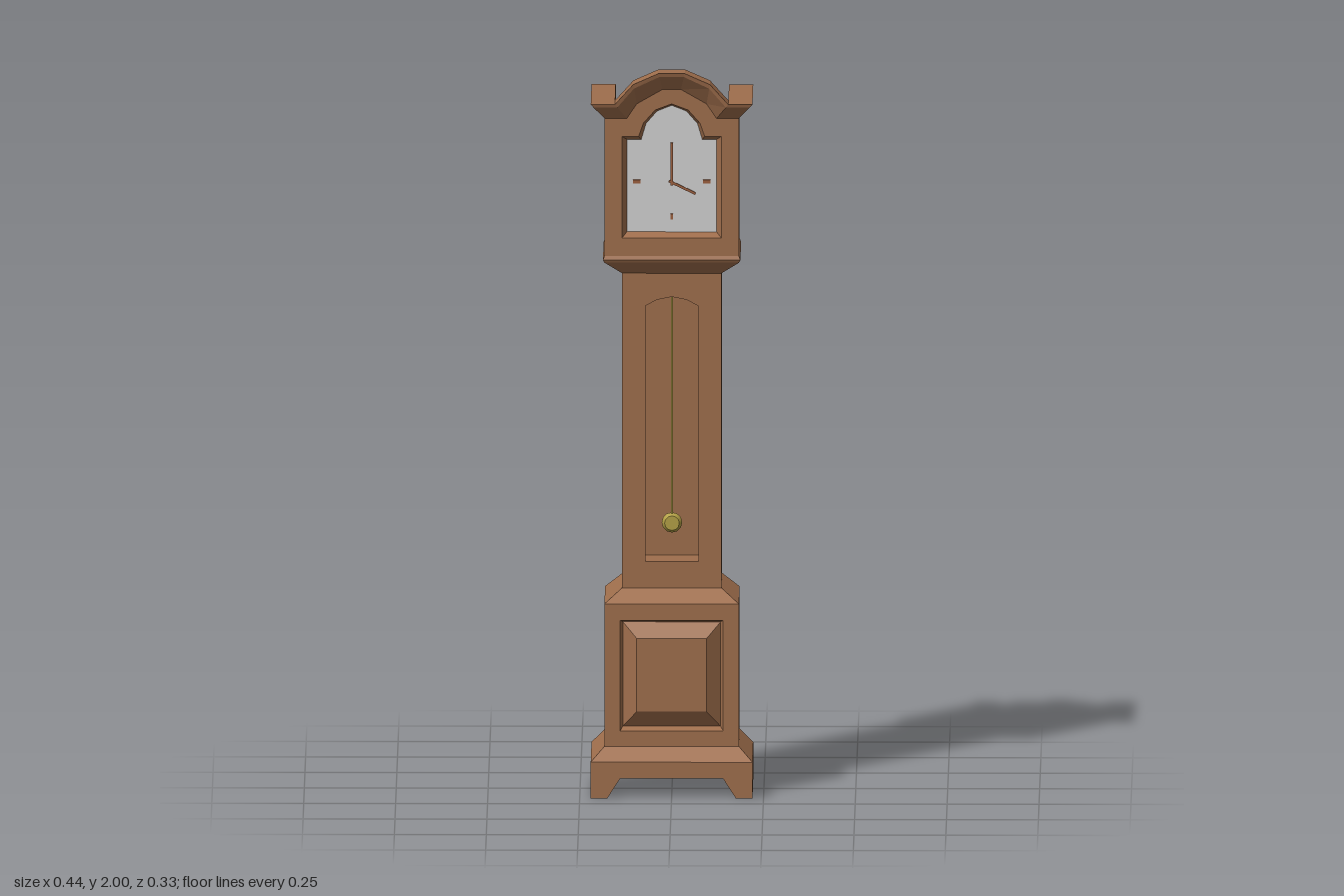
import * as THREE from 'three';

const BACK = -0.163;
const mat = (name, color) => Object.assign(
  new THREE.MeshStandardMaterial({ color, side: THREE.DoubleSide }), { name });

// Mirrors a right-hand run of [x, y] points (outside to centre) into a full left-to-right run
const mirrorRun = (half) => {
  const left = half.map(([x, y]) => [-x, y]);
  const right = half.slice().reverse().filter(([x]) => x !== 0);
  return [...left, ...right];
};
const atZ = (run, z) => run.map(([x, y]) => [x, y, z]);
const closed = (run) => [...run, run[0]];

// Flat-faced ribbon between two runs of points with equal counts
function ribbon(a, b) {
  const pos = [];
  for (let i = 0; i < a.length - 1; i++) {
    pos.push(...a[i], ...a[i + 1], ...b[i + 1], ...a[i], ...b[i + 1], ...b[i]);
  }
  const g = new THREE.BufferGeometry();
  g.setAttribute('position', new THREE.Float32BufferAttribute(pos, 3));
  g.computeVertexNormals();
  return g;
}

// Flat sheet facing +z, with optional hole
function sheet(run, z, hole) {
  const toV = (r) => r.map(([x, y]) => new THREE.Vector2(x, y));
  const shape = new THREE.Shape(toV(run));
  if (hole) shape.holes.push(new THREE.Path(toV(hole)));
  return new THREE.ShapeGeometry(shape).translate(0, 0, z);
}

const rect = (w, y0, y1) => [[-w, y0], [-w, y1], [w, y1], [w, y0]];
// Three-sided section, open at the back
const section = ([w, z, y]) => [[-w, y, BACK], [-w, y, z], [w, y, z], [w, y, BACK]];

export function createModel() {
  const wood = mat('wood', 0x9f6e4c);
  const enamel = mat('dial white', 0xd2d2d2);
  const brass = mat('brass', 0xb3a045);
  const handWood = mat('hand brown', 0x9c5f3e);

  const model = new THREE.Group();
  model.name = 'longcaseClock';
  const part = (name) => {
    const g = new THREE.Group();
    g.name = name;
    model.add(g);
    return (n, geo, m = wood) => {
      const mesh = new THREE.Mesh(geo, m);
      mesh.name = n;
      g.add(mesh);
      return mesh;
    };
  };
  const sides = (add, w, z, y0, y1) => {
    for (const s of [-1, 1]) {
      add('sideWall', ribbon([[s * w, y0, BACK], [s * w, y0, z]], [[s * w, y1, BACK], [s * w, y1, z]]));
    }
  };
  const moulding = (add, levels) => {
    for (let i = 0; i < levels.length - 1; i++) {
      add('moulding', ribbon(section(levels[i]), section(levels[i + 1])));
    }
  };

  // Base with bracket feet
  const base = part('base');
  const feet = mirrorRun([[0.22, 0], [0.175, 0], [0.14, 0.055]]);
  base('footedFront', sheet([...feet, [0.22, 0.1], [-0.22, 0.1]], 0.163));
  base('floor', ribbon(atZ(feet.slice(1, -1), 0.163), atZ(feet.slice(1, -1), BACK)));
  sides(base, 0.22, 0.163, 0, 0.1);
  moulding(base, [[0.22, 0.163, 0.1], [0.183, 0.125, 0.137]]);

  // Plinth with raised and fielded panel
  const plinth = part('plinth');
  const opening = rect(0.14, 0.18, 0.485);
  const panelEdge = rect(0.133, 0.19, 0.478);
  const field = rect(0.095, 0.235, 0.437);
  plinth('plinthFront', sheet(rect(0.183, 0.137, 0.53), 0.125, opening));
  sides(plinth, 0.183, 0.125, 0.137, 0.53);
  plinth('panelRecess', ribbon(closed(atZ(opening, 0.125)), closed(atZ(panelEdge, 0.107))));
  plinth('panelBevel', ribbon(closed(atZ(panelEdge, 0.107)), closed(atZ(field, 0.137))));
  plinth('panelField', sheet(field, 0.137));
  moulding(plinth, [[0.183, 0.125, 0.53], [0.135, 0.08, 0.567]]);

  // Trunk with pendulum niche
  const trunk = part('trunk');
  const niche = mirrorRun([[0.072, 0.64], [0.072, 1.345], [0.04, 1.362], [0, 1.37]]);
  trunk('trunkFront', sheet(rect(0.135, 0.567, 1.435), 0.08, niche));
  sides(trunk, 0.135, 0.08, 0.567, 1.435);
  trunk('nicheWalls', ribbon(closed(atZ(niche, 0.08)), closed(atZ(niche, -0.025))));
  trunk('nicheBack', sheet(niche, -0.025));
  moulding(trunk, [[0.135, 0.08, 1.435], [0.183, 0.125, 1.472], [0.187, 0.129, 1.48], [0.183, 0.125, 1.49]]);

  // Pendulum
  const pendulum = part('pendulum');
  pendulum('rod', new THREE.CylinderGeometry(0.003, 0.003, 0.67, 6), brass).position.set(0, 1.075, 0.02);
  const bob = pendulum('bob', new THREE.CylinderGeometry(0.02, 0.028, 0.012, 12), brass);
  bob.rotation.x = Math.PI / 2;
  bob.position.set(0, 0.737, 0.024);

  // Hood with arched dial opening
  const hood = part('hood');
  const lower = mirrorRun([[0.183, 1.87], [0.122, 1.87], [0.095, 1.91], [0.025, 1.95]]);
  const upper = mirrorRun([[0.22, 1.915], [0.154, 1.915], [0.104, 1.97], [0.036, 2]]);
  const frame = mirrorRun([[0.135, 1.54], [0.135, 1.82], [0.09, 1.82], [0.077, 1.857], [0.045, 1.893], [0, 1.91]]);
  const face = mirrorRun([[0.122, 1.553], [0.122, 1.808], [0.083, 1.808], [0.07, 1.852], [0.04, 1.886], [0, 1.902]]);
  hood('hoodFront', sheet([[-0.183, 1.49], ...lower, [0.183, 1.49]], 0.125, frame));
  sides(hood, 0.183, 0.125, 1.49, 1.87);
  hood('dialFrame', ribbon(closed(atZ(frame, 0.125)), closed(atZ(face, 0.1))));
  hood('archedRoof', ribbon(atZ(lower.slice(1, -1), 0.125), atZ(lower.slice(1, -1), BACK)));

  // Cornice following the arch and returning along the sides
  const cornice = part('cornice');
  const withReturns = (run, z) => {
    const r = atZ(run, z);
    const a = run[0], b = run[run.length - 1];
    return [[a[0], a[1], BACK], ...r, [b[0], b[1], BACK]];
  };
  const middle = lower.map(([x, y], i) => [x + (upper[i][0] - x) * 0.8, y + (upper[i][1] - y) * 0.8]);
  cornice('corniceSlope', ribbon(withReturns(lower, 0.125), withReturns(middle, 0.16)));
  cornice('corniceLip', ribbon(withReturns(middle, 0.16), withReturns(upper, 0.163)));
  const outerArch = upper.slice(1, -1), innerArch = lower.slice(1, -1);
  cornice('archTop', ribbon(atZ(outerArch, 0.163), atZ(outerArch, 0.095)));
  cornice('archBack', ribbon(atZ(outerArch, 0.095), atZ(innerArch, 0.095)));
  for (const s of [-1, 1]) {
    const ledge = [[s * 0.22, 1.915], [s * 0.154, 1.915]];
    const gutter = [[s * 0.154, 1.915], [s * 0.154, 1.87], [s * 0.122, 1.87]];
    cornice('sideLedge', ribbon(atZ(ledge, 0.163), atZ(ledge, BACK)));
    cornice('roofGutter', ribbon(atZ(gutter, 0.095), atZ(gutter, BACK)));
  }

  // Dial, hour marks and hands
  const dial = part('dial');
  dial('dialFace', sheet(face, 0.1), enamel);
  for (const [x, y, w, h] of [[0.095, 1.692, 0.02, 0.01], [-0.095, 1.692, 0.02, 0.01],
    [0, 1.595, 0.008, 0.016], [0, 1.787, 0.008, 0.016]]) {
    dial('hourMark', new THREE.BoxGeometry(w, h, 0.004), handWood).position.set(x, y, 0.102);
  }
  const hand = (name, length, angle, z) => {
    const geo = new THREE.BoxGeometry(0.007, length, 0.003).translate(0, length / 2 - 0.008, 0);
    const mesh = dial(name, geo, handWood);
    mesh.position.set(0, 1.69, z);
    mesh.rotation.z = angle;
  };
  hand('minuteHand', 0.118, 0, 0.107);
  hand('hourHand', 0.08, -2.02, 0.104);

  return model;
}
